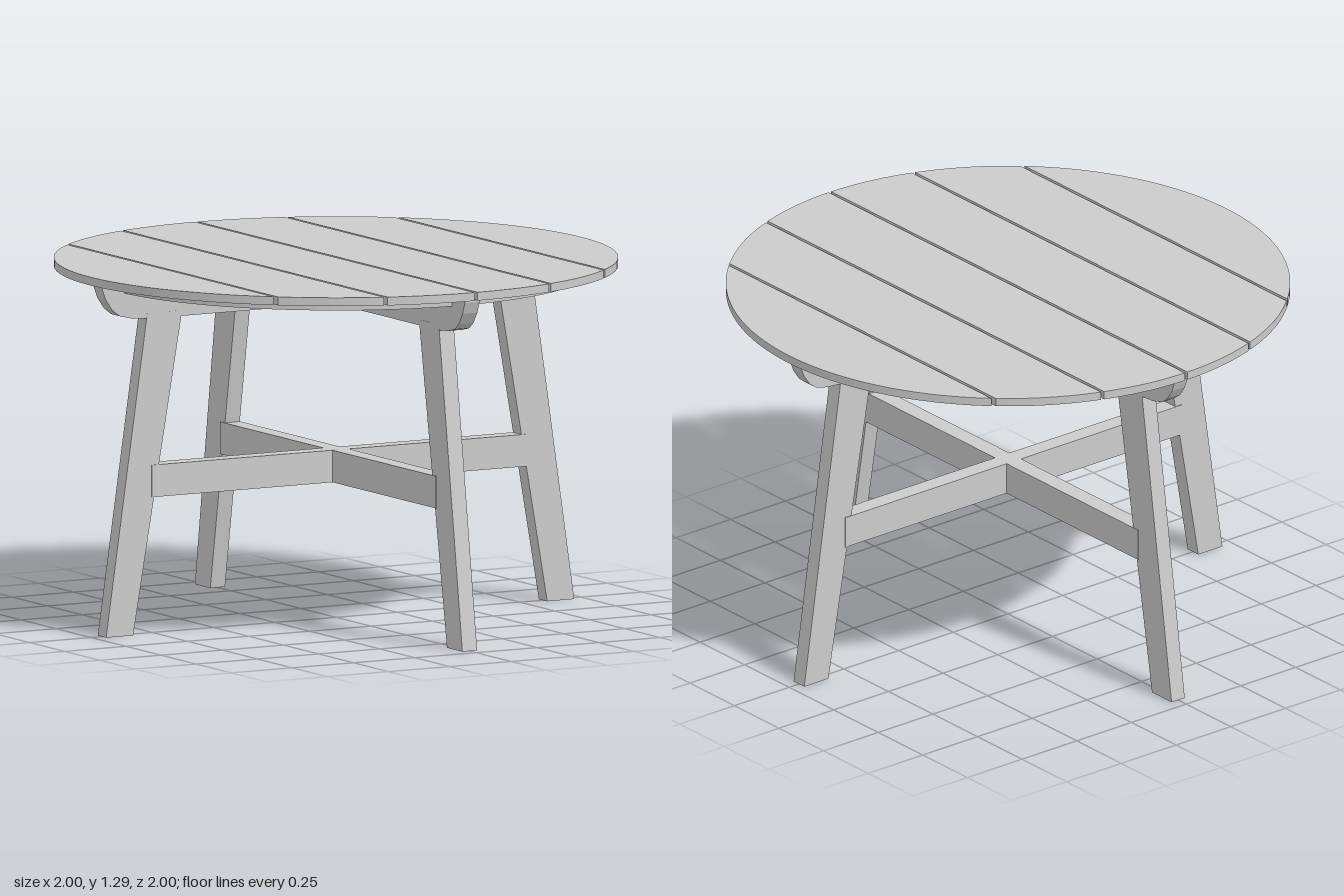
import * as THREE from 'three';

const material = new THREE.MeshStandardMaterial({ color: 0xcccccc });

// Extrude an outline of [x, y] points, centred on its depth
function plate(name, points, depth) {
  const shape = new THREE.Shape(points.map(([x, y]) => new THREE.Vector2(x, y)));
  const geometry = new THREE.ExtrudeGeometry(shape, { depth, bevelEnabled: false });
  geometry.translate(0, 0, -depth / 2);
  const mesh = new THREE.Mesh(geometry, material);
  mesh.name = name;
  return mesh;
}

// Lay a plate flat between two heights
function flatPlate(name, points, y0, y1) {
  const mesh = plate(name, points, y1 - y0);
  mesh.rotation.x = -Math.PI / 2;
  mesh.position.y = (y0 + y1) / 2;
  return mesh;
}

// Points along a circle between two angles
function arc(radius, from, to, steps) {
  return Array.from({ length: steps + 1 }, (_, i) => {
    const a = from + ((to - from) * i) / steps;
    return [radius * Math.cos(a), radius * Math.sin(a)];
  });
}

// Round top cut into six planks
function createTop() {
  const top = new THREE.Group();
  top.name = 'tableTop';
  const pitch = 0.335, gap = 0.012;
  for (let i = -3; i < 3; i++) {
    const x0 = i === -3 ? -1 : i * pitch + gap / 2;
    const x1 = i === 2 ? 1 : (i + 1) * pitch - gap / 2;
    const a0 = Math.acos(x1), a1 = Math.acos(x0);
    const outline = [...arc(1, a0, a1, 24), ...arc(1, -a1, -a0, 24)];
    // The outer planks come to a single point on the rim
    const clean = outline.filter(([x, y], k) => {
      const [px, py] = outline[(k + outline.length - 1) % outline.length];
      return Math.hypot(x - px, y - py) > 1e-5;
    });
    top.add(flatPlate('plank', clean, 1.26, 1.29));
  }
  return top;
}

// Four round-edged corner battens joining the planks between the beams
function createBattens() {
  const battens = new THREE.Group();
  battens.name = 'battens';
  const radius = 0.88, side = 0.03, chord = 0.81;
  const a = Math.asin(side / radius);
  const outline = [
    [chord - side, side], ...arc(radius, a, Math.PI / 2 - a, 24), [side, chord - side],
  ];
  for (let i = 0; i < 4; i++) {
    const batten = flatPlate('batten', outline, 1.227, 1.26);
    batten.rotation.z = (i * Math.PI) / 2;
    battens.add(batten);
  }
  return battens;
}

// One trestle: rounded-end beam, two splayed legs and a stretcher
function createTrestle() {
  const trestle = new THREE.Group();
  trestle.name = 'trestle';

  const end = [[0.79, 1.13], [0.85, 1.135], [0.9, 1.147], [0.93, 1.17], [0.957, 1.21], [0.972, 1.25], [0.972, 1.26]];
  const mirrored = end.map(([x, y]) => [-x, y]).reverse();
  trestle.add(plate('beam', [...end, ...mirrored], 0.0595));

  for (const s of [1, -1]) {
    const outline = [[0.845, 0], [0.955, 0], [0.787, 1.15], [0.645, 1.15]].map(([x, y]) => [s * x, y]);
    trestle.add(plate('leg', outline, 0.06));
  }

  const stretcher = new THREE.Mesh(new THREE.BoxGeometry(1.54, 0.115, 0.066), material);
  stretcher.name = 'stretcher';
  stretcher.position.y = 0.5475;
  trestle.add(stretcher);
  return trestle;
}

export function createModel() {
  const table = new THREE.Group();
  table.name = 'roundTable';
  const across = createTrestle();
  const along = createTrestle();
  along.rotation.y = Math.PI / 2;
  table.add(createTop(), createBattens(), across, along);
  return table;
}
